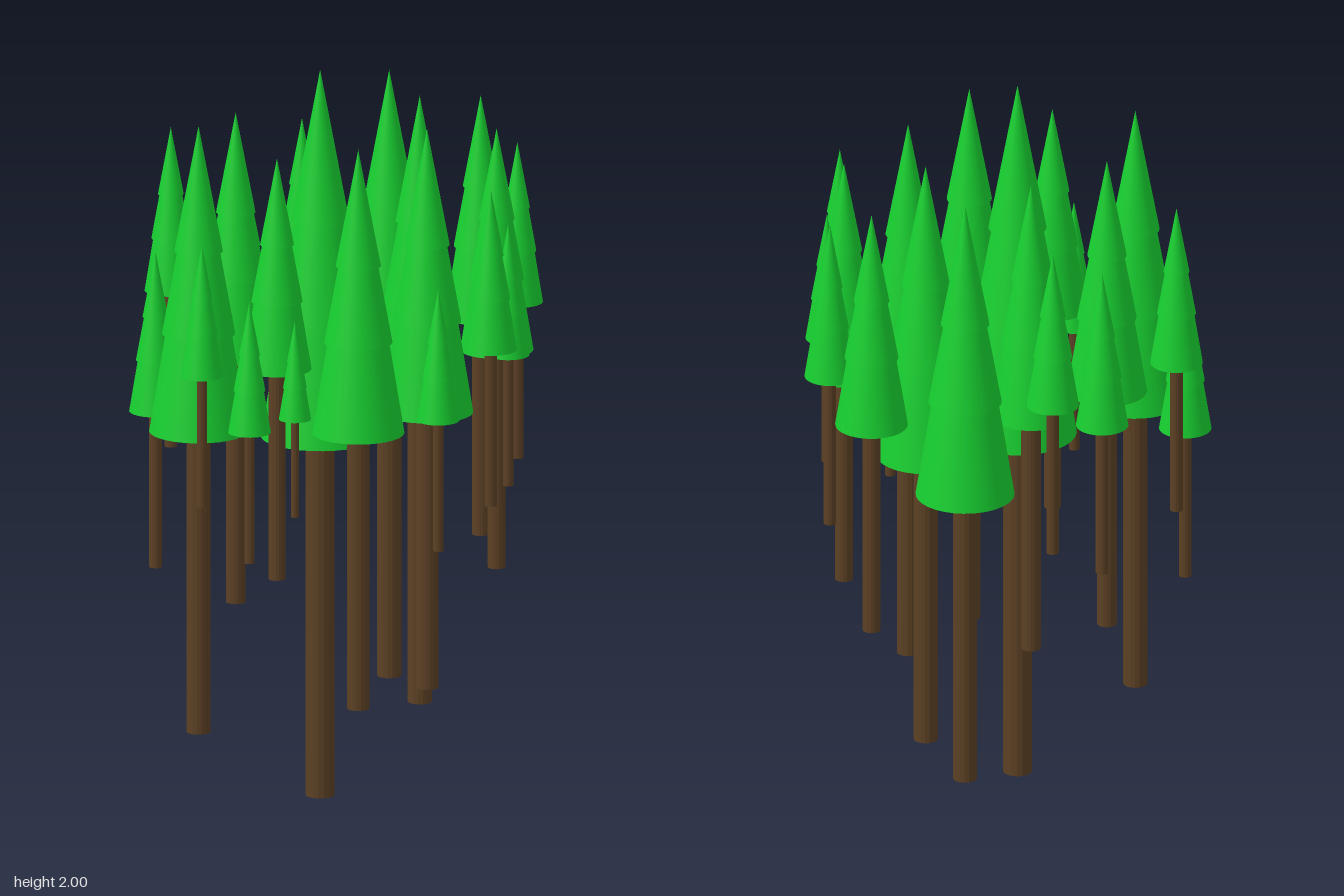
import * as THREE from 'three';

const leaf = new THREE.MeshStandardMaterial({ color: 0x17cf30 });
const bark = new THREE.MeshStandardMaterial({ color: 0x5c4024, flatShading: true });

// Each tree: x, z, crown radius, trunk foot, crown bottom, tip
const TREES = [
  [-0.095, 0.01, 0.158, 0, 0.99, 2],
  [-0.41, -0.11, 0.132, 0.2, 1.03, 1.87],
  [0.245, 0, 0.132, 0.2, 1.03, 1.87],
  [0.34, -0.26, 0.132, 0.2, 1.03, 1.87],
  [-0.195, 0.31, 0.123, 0.32, 1.08, 1.86],
  [0.08, 0.25, 0.123, 0.32, 1.08, 1.86],
  [-0.18, -0.25, 0.107, 0.49, 1.17, 1.84],
  [0.075, -0.23, 0.107, 0.49, 1.17, 1.84],
  [0.32, 0.24, 0.098, 0.61, 1.21, 1.82],
  [0.49, -0.055, 0.097, 0.61, 1.21, 1.82],
  [-0.33, 0.13, 0.092, 0.66, 1.24, 1.82],
  [-0.23, -0.47, 0.07, 0.88, 1.31, 1.76],
  [-0.38, -0.34, 0.07, 0.6, 1.03, 1.47],
  [-0.035, -0.39, 0.07, 0.73, 1.16, 1.6],
  [0.17, -0.42, 0.07, 0.86, 1.29, 1.73],
  [0.48, 0.12, 0.068, 0.86, 1.29, 1.73],
  [0.13, 0.465, 0.07, 0.86, 1.29, 1.73],
  [-0.535, 0.07, 0.057, 0.88, 1.24, 1.6],
  [-0.49, 0.22, 0.057, 0.75, 1.11, 1.47],
  [-0.015, 0.425, 0.057, 0.75, 1.11, 1.47],
  [0.245, 0.39, 0.057, 0.88, 1.24, 1.6],
  [-0.38, 0.275, 0.043, 0.87, 1.14, 1.41],
];

// Crown tiers as fractions of crown height and radius: bottom, top, lower radius, upper radius
const TIERS = [
  ['lowerFoliage', 0, 0.32, 1, 0.67],
  ['middleFoliage', 0.32, 0.59, 0.74, 0.43],
  ['upperFoliage', 0.59, 1, 0.49, 0],
];

function addMesh(parent, name, geometry, material, y) {
  const mesh = new THREE.Mesh(geometry, material);
  mesh.name = name;
  mesh.position.y = y;
  parent.add(mesh);
  return mesh;
}

function makeTree([x, z, r, foot, crown, tip]) {
  const tree = new THREE.Group();
  tree.name = 'tree';
  tree.position.set(x, 0, z);

  // Trunk, closed underneath by a green disc
  const trunkR = r * 0.245;
  const trunkH = crown - foot;
  addMesh(tree, 'trunk', new THREE.CylinderGeometry(trunkR, trunkR, trunkH, 16, 1, true), bark, foot + trunkH / 2);
  addMesh(tree, 'trunkBase', new THREE.CircleGeometry(trunkR, 16).rotateX(Math.PI / 2), leaf, foot);

  // Stacked conical foliage
  const h = tip - crown;
  for (const [name, a, b, r0, r1] of TIERS) {
    const geometry = new THREE.CylinderGeometry(r * r1, r * r0, h * (b - a), 32);
    addMesh(tree, name, geometry, leaf, crown + h * (a + b) / 2);
  }
  return tree;
}

export function createModel() {
  const grove = new THREE.Group();
  grove.name = 'grove';
  TREES.forEach((t) => grove.add(makeTree(t)));
  return grove;
}
